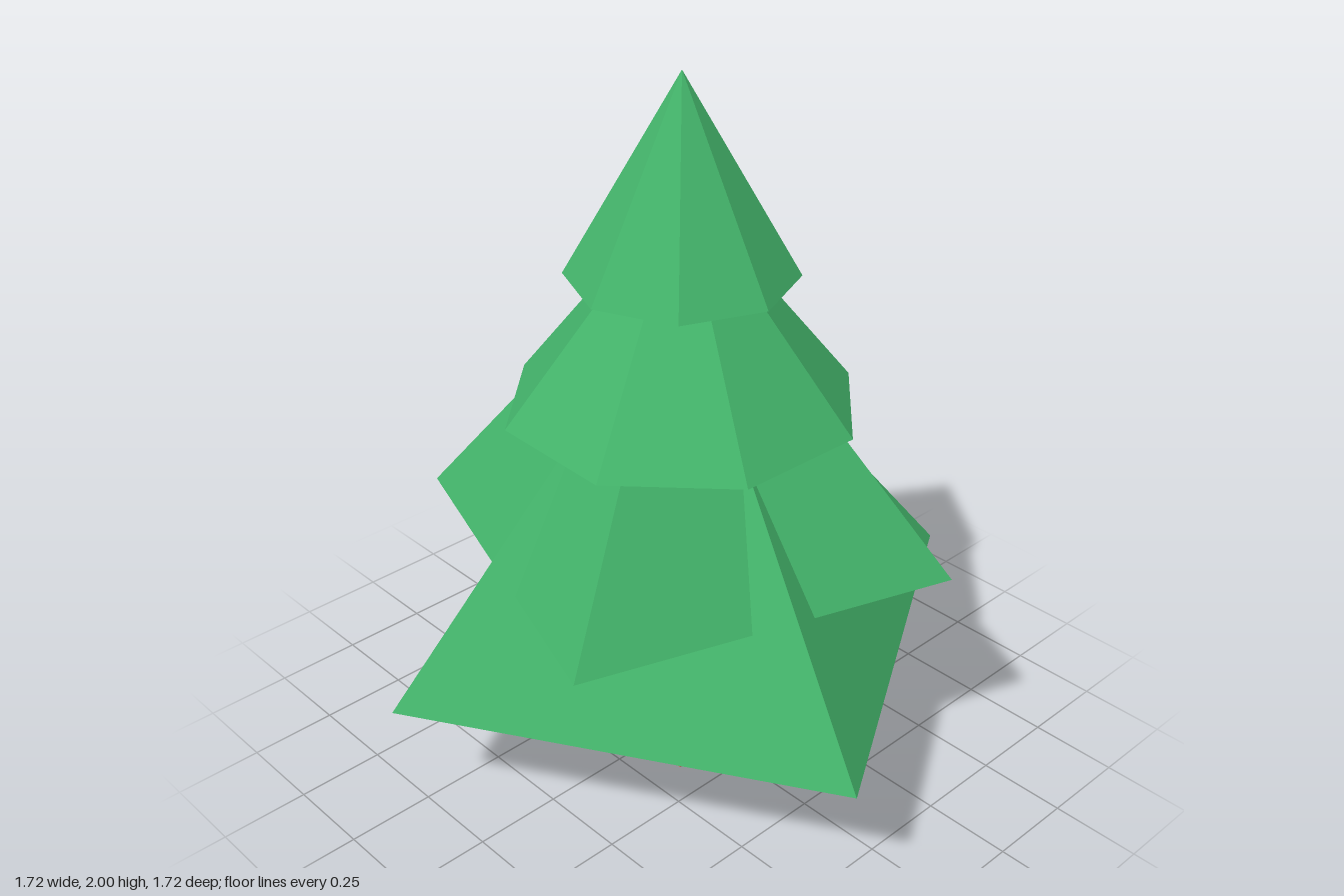
import * as THREE from 'three';

export function createModel() {
  const tree = new THREE.Group();
  tree.name = 'firTree';

  const needles = new THREE.MeshStandardMaterial({ color: 0x43b36a, flatShading: true, side: THREE.DoubleSide });
  needles.name = 'needle green';
  const bark = new THREE.MeshStandardMaterial({ color: 0xcb7152, flatShading: true });
  bark.name = 'bark brown';

  // Square trunk, running up inside the lowest tier
  const trunkHeight = 0.8;
  const trunk = new THREE.Mesh(new THREE.BoxGeometry(0.294, trunkHeight, 0.294), bark);
  trunk.name = 'trunk';
  trunk.position.y = trunkHeight / 2;
  tree.add(trunk);

  // Hollow foliage pyramids, each twisted about the trunk
  const tiers = [
    { name: 'lowestFoliage', radius: 0.886, base: 0.38, apex: 1.46, sides: 4, twist: -14.04 },
    { name: 'lowerFoliage', radius: 0.765, base: 0.69, apex: 1.6, sides: 4, twist: 26.4 },
    { name: 'upperFoliage', radius: 0.488, base: 1.09, apex: 1.7, sides: 8, twist: 20.9 },
    { name: 'topFoliage', radius: 0.31, base: 1.46, apex: 2, sides: 8, twist: 0 },
  ];
  for (const t of tiers) {
    const height = t.apex - t.base;
    const cone = new THREE.ConeGeometry(t.radius, height, t.sides, 1, true);
    const tier = new THREE.Mesh(cone, needles);
    tier.name = t.name;
    tier.position.y = t.base + height / 2;
    tier.rotation.y = THREE.MathUtils.degToRad(t.twist);
    tree.add(tier);
  }
  return tree;
}
